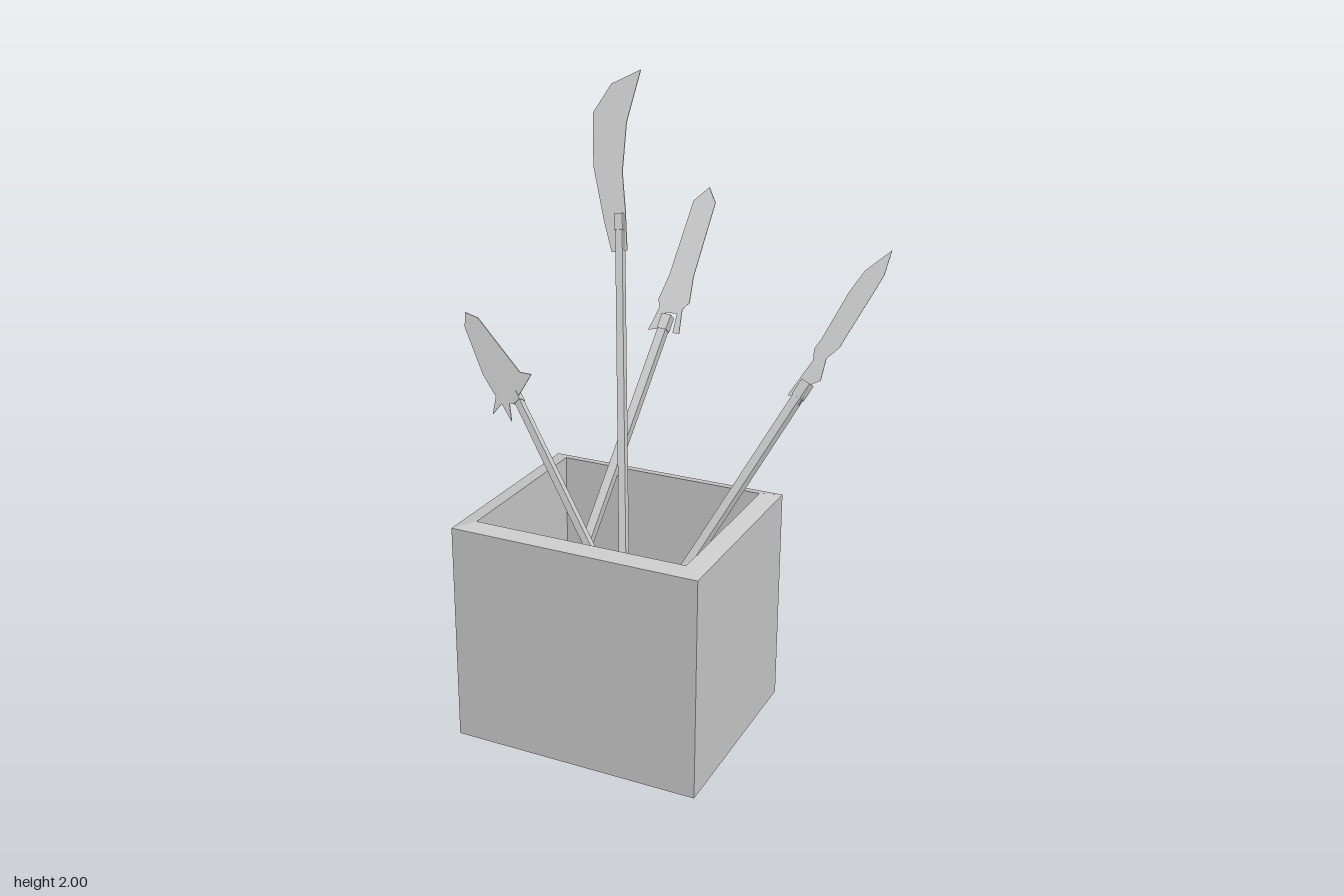
import * as THREE from 'three';

const grey = new THREE.MeshStandardMaterial({ color: 0xcccccc, flatShading: true, side: THREE.DoubleSide });

function addMesh(parent, geometry, name) {
  const mesh = new THREE.Mesh(geometry, grey);
  mesh.name = name;
  parent.add(mesh);
  return mesh;
}

// Rectangular skin through rings of [half width, height, half depth]
function ringSkin(rings) {
  const pos = [];
  const corner = ([w, y, d], k) => [[w, y, d], [w, y, -d], [-w, y, -d], [-w, y, d]][k % 4];
  for (let i = 0; i < rings.length - 1; i++) {
    for (let k = 0; k < 4; k++) {
      const a = corner(rings[i], k), b = corner(rings[i], k + 1);
      const c = corner(rings[i + 1], k + 1), d = corner(rings[i + 1], k);
      pos.push(...a, ...b, ...c, ...a, ...c, ...d);
    }
  }
  const g = new THREE.BufferGeometry();
  g.setAttribute('position', new THREE.Float32BufferAttribute(pos, 3));
  g.computeVertexNormals();
  return g;
}

// Square bar between two points, one face parallel to the blade
function bar(parent, from, to, width, normal, name) {
  const y = to.clone().sub(from);
  const length = y.length();
  y.normalize();
  const x = new THREE.Vector3().crossVectors(y, normal).normalize();
  const z = new THREE.Vector3().crossVectors(x, y);
  const mesh = addMesh(parent, new THREE.BoxGeometry(width, length, width), name);
  mesh.quaternion.setFromRotationMatrix(new THREE.Matrix4().makeBasis(x, y, z));
  mesh.position.copy(from).add(to).multiplyScalar(0.5);
}

// Weapon: shaft, collar and a thin blade outlined in x, y on the plane z = a + b x + c y
function weapon({ name, start, end, width, plane: [a, b, c], outline }) {
  const group = new THREE.Group();
  group.name = name;
  const from = new THREE.Vector3(...start), to = new THREE.Vector3(...end);
  const normal = new THREE.Vector3(-b, -c, 1).normalize();
  bar(group, from, to, width, normal, 'shaft');
  const dir = to.clone().sub(from).normalize();
  bar(group, to.clone().addScaledVector(dir, -0.05), to.clone().addScaledVector(dir, 0.005), width * 1.15, normal, 'collar');

  const shape = new THREE.Shape(outline.map(p => new THREE.Vector2(...p)));
  const g = new THREE.ExtrudeGeometry(shape, { depth: 0.004, bevelEnabled: false });
  const p = g.attributes.position;
  for (let i = 0; i < p.count; i++) {
    p.setZ(i, p.getZ(i) - 0.002 + a + b * p.getX(i) + c * p.getY(i));
  }
  g.computeVertexNormals();
  addMesh(group, g, 'blade');
  return group;
}

export function createModel() {
  const model = new THREE.Group();
  model.name = 'weaponBin';

  // Open bin with a gently raised rim and a floor recessed behind a sloped lower edge
  const bin = new THREE.Group();
  bin.name = 'bin';
  bin.position.set(0.118, 0, 0.296);
  addMesh(bin, ringSkin([
    [0.35, 0.062, 0.29], [0.409, 0.014, 0.342], [0.409, 0.735, 0.342], [0.35, 0.748, 0.29], [0.35, 0.062, 0.29]
  ]), 'walls');
  const floor = addMesh(bin, new THREE.PlaneGeometry(0.7, 0.58), 'floor');
  floor.rotation.x = -Math.PI / 2;
  floor.position.y = 0.062;
  model.add(bin);

  // Curved cleaver
  model.add(weapon({
    name: 'curvedGlaive', start: [0.212, 0.01, 0.455], end: [-0.142, 1.545, -0.226], width: 0.025,
    plane: [0.398, 0, -0.405],
    outline: [[-0.155, 2], [-0.255, 1.95], [-0.305, 1.855], [-0.27, 1.69], [-0.2, 1.53], [-0.15, 1.43],
      [-0.095, 1.44], [-0.125, 1.56], [-0.16, 1.68], [-0.175, 1.835]]
  }));

  // Upright spear leaning to the back, outline listed as x, z and lifted onto its plane
  const lift = z => 1.19 + (-0.36 - z) / 0.7;
  model.add(weapon({
    name: 'backSpear', start: [-0.08, 0.25, 0.43], end: [-0.017, 1.18, -0.34], width: 0.03,
    plane: [0.473, 0, -0.7],
    outline: [[0.008, -0.632], [-0.038, -0.6], [-0.055, -0.44], [-0.072, -0.385], [-0.06, -0.37], [-0.08, -0.32],
      [-0.04, -0.325], [-0.033, -0.36], [0.01, -0.36], [0.012, -0.32], [0.036, -0.32], [0.025, -0.37],
      [0.045, -0.385], [0.035, -0.44], [0.045, -0.6]].map(([x, z]) => [x, lift(z)])
  }));

  // Narrow spear leaning to the left side
  model.add(weapon({
    name: 'leftSpear', start: [0.12, 0.115, 0.585], end: [0.61, 1.14, 0.005], width: 0.028,
    plane: [0.637, 0.155, -0.64],
    outline: [[0.79, 1.53], [0.717, 1.465], [0.68, 1.4], [0.625, 1.265], [0.608, 1.235], [0.613, 1.205],
      [0.555, 1.1], [0.585, 1.1], [0.6, 1.08], [0.625, 1.14], [0.652, 1.155], [0.655, 1.215], [0.69, 1.25],
      [0.7, 1.275], [0.765, 1.42], [0.782, 1.46]]
  }));

  // Broad spiked sword leaning to the right side
  model.add(weapon({
    name: 'rightSword', start: [0.31, 0.45, 0.58], end: [-0.48, 0.915, -0.085], width: 0.024,
    plane: [0.607, 0.345, -0.559],
    outline: [[-0.8, 1.11], [-0.73, 1.105], [-0.47, 0.985], [-0.415, 0.99], [-0.44, 0.937], [-0.455, 0.91],
      [-0.425, 0.89], [-0.485, 0.885], [-0.455, 0.835], [-0.52, 0.875], [-0.55, 0.835], [-0.555, 0.89],
      [-0.64, 0.94], [-0.785, 1.065]]
  }));

  return model;
}
